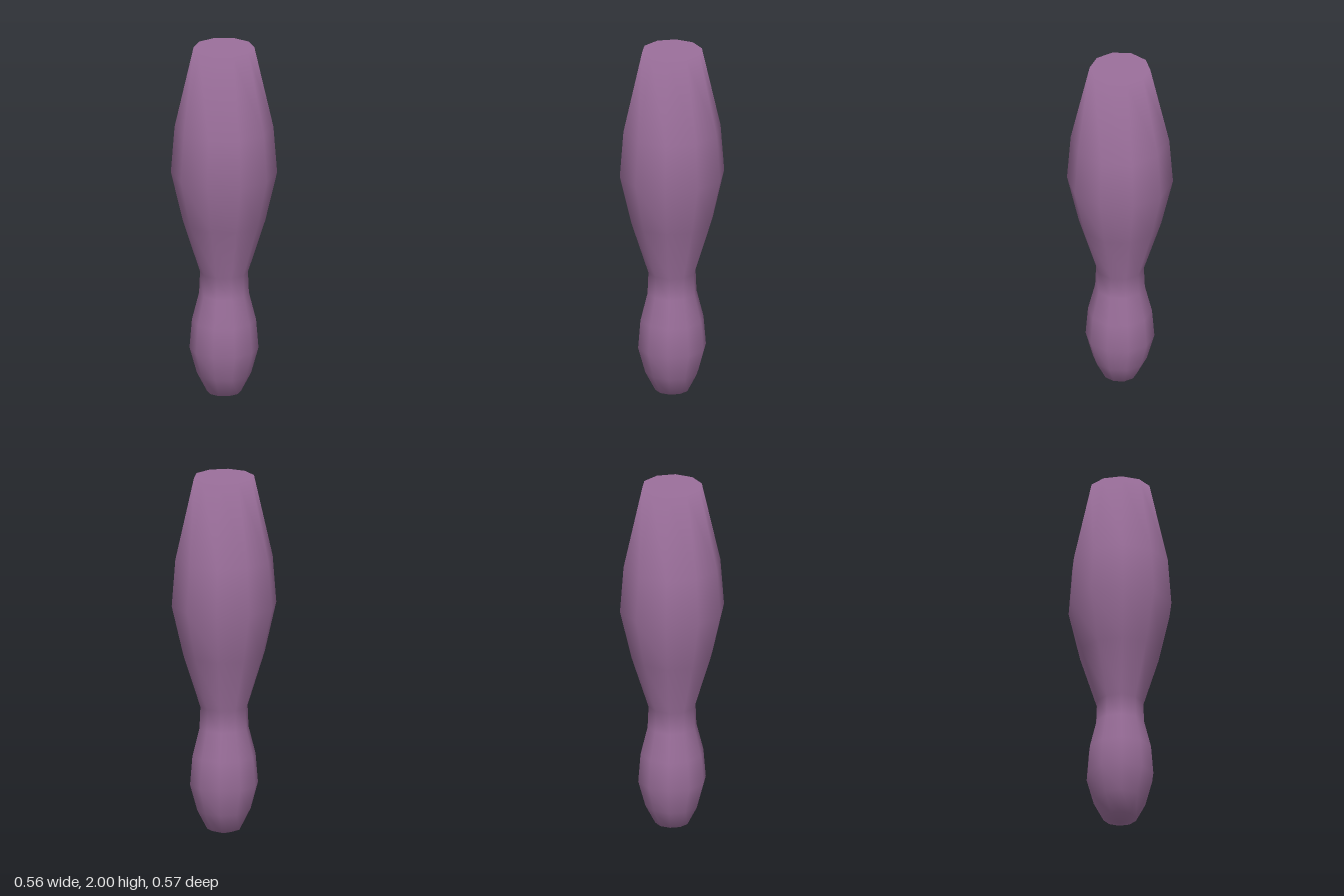
import * as THREE from 'three';
import { mergeVertices } from 'three/addons/utils/BufferGeometryUtils.js';

const SIDES = 10;
const TOP = 2;

// Half profile [radius, height], from the underside centre to the top centre
const PROFILE = [
  [0, 0], [0.092, 0.03], [0.147, 0.135], [0.187, 0.28], [0.174, 0.44],
  [0.135, 0.595], [0.13, 0.715], [0.224, 1.01], [0.288, 1.285],
  [0.268, 1.545], [0.165, TOP], [0, TOP],
];

export function createModel() {
  const group = new THREE.Group();
  group.name = 'turnedVessel';

  // Ten-sided closed body, turned slightly about its axis
  const points = PROFILE.map(([r, y]) => new THREE.Vector2(r, y));
  const lathe = new THREE.LatheGeometry(points, SIDES, -0.1);

  // Weld the seam so the shading is smooth all round
  lathe.deleteAttribute('uv');
  lathe.deleteAttribute('normal');
  const geometry = mergeVertices(lathe, 1e-4);
  geometry.computeVertexNormals();

  // The flat top keeps upright normals, blending softly into the shoulder
  const { position, normal } = geometry.attributes;
  for (let i = 0; i < position.count; i++) {
    if (position.getY(i) > TOP - 1e-3) normal.setXYZ(i, 0, 1, 0);
  }

  const body = new THREE.Mesh(geometry, new THREE.MeshStandardMaterial({ color: 0x9b6f9b }));
  body.name = 'body';
  group.add(body);
  return group;
}
